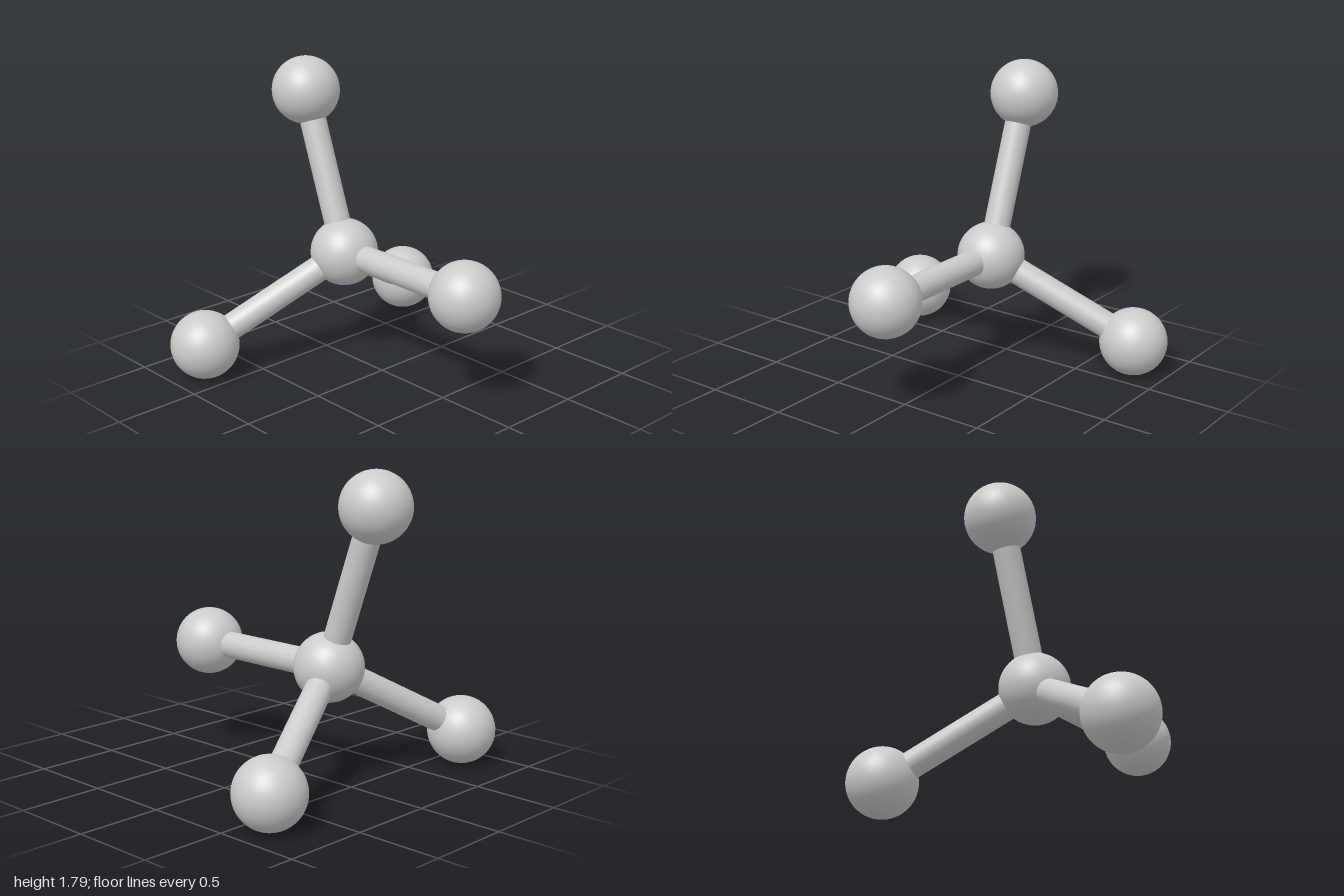
import * as THREE from 'three';

const BALL_RADIUS = 0.2;
const ROD_RADIUS = 0.078;
const LENGTH = 0.98; // centre to outer ball

export function createModel() {
  const group = new THREE.Group();
  const material = new THREE.MeshStandardMaterial({ color: 0xcccccc });
  const ballGeometry = new THREE.SphereGeometry(BALL_RADIUS, 48, 32);
  const rodGeometry = new THREE.CylinderGeometry(ROD_RADIUS, ROD_RADIUS, LENGTH, 40, 1, true);
  const centre = new THREE.Vector3(-LENGTH / 3, BALL_RADIUS + LENGTH * Math.SQRT2 / 3, 0);

  const add = (name, geometry, position) => {
    const mesh = new THREE.Mesh(geometry, material);
    mesh.name = name;
    mesh.position.copy(position);
    group.add(mesh);
    return mesh;
  };

  add('centreBall', ballGeometry, centre);

  // Tetrahedral arms: one along +x, three spread evenly around the x axis
  const directions = [new THREE.Vector3(1, 0, 0)];
  const spread = Math.sqrt(8) / 3;
  for (let i = 0; i < 3; i++) {
    const a = (i * Math.PI * 2) / 3;
    directions.push(new THREE.Vector3(-1 / 3, spread * Math.cos(a), spread * Math.sin(a)));
  }

  const up = new THREE.Vector3(0, 1, 0);
  const armNames = ['left', 'top', 'front', 'back'];
  directions.forEach((direction, i) => {
    const rod = add(`${armNames[i]}Rod`, rodGeometry, centre.clone().addScaledVector(direction, LENGTH / 2));
    rod.quaternion.setFromUnitVectors(up, direction);
    add(`${armNames[i]}Ball`, ballGeometry, centre.clone().addScaledVector(direction, LENGTH));
  });

  return group;
}
